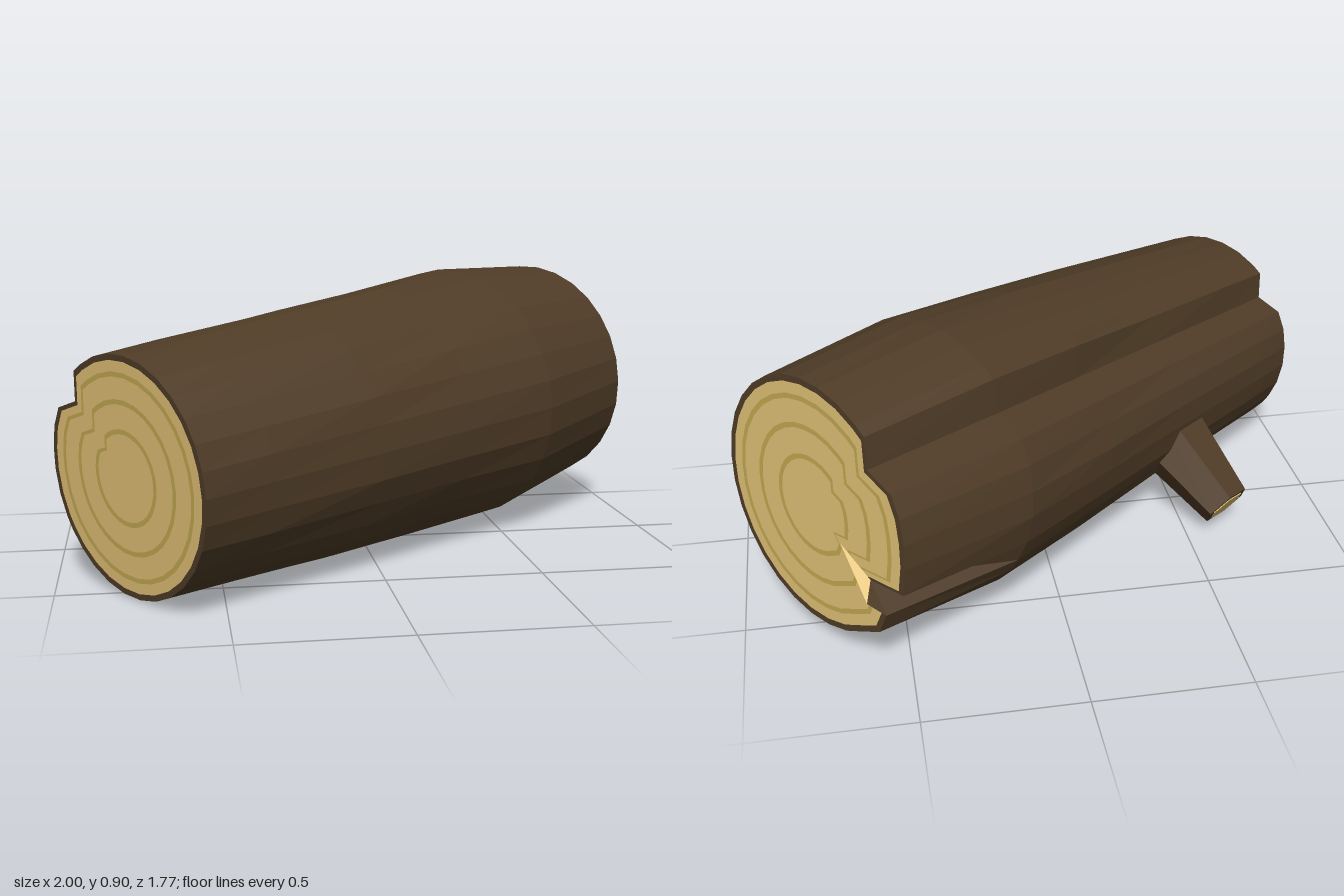
import * as THREE from 'three';

const BARK = 0x4f3c27, WOOD = 0xe2c276, GRAIN = 0xc4aa52;

// Flat-shaded mesh from a list of polygons (each 3 or 4 points)
function facetMesh(name, polys, color, side = THREE.FrontSide) {
  const pos = [];
  const e1 = new THREE.Vector3(), e2 = new THREE.Vector3();
  const tri = (a, b, c) => {
    if (e1.subVectors(b, a).cross(e2.subVectors(c, a)).length() < 1e-9) return;
    for (const p of [a, b, c]) pos.push(p.x, p.y, p.z);
  };
  for (const p of polys) {
    tri(p[0], p[1], p[2]);
    if (p[3]) tri(p[0], p[2], p[3]);
  }
  const g = new THREE.BufferGeometry();
  g.setAttribute('position', new THREE.Float32BufferAttribute(pos, 3));
  g.computeVertexNormals();
  const m = new THREE.Mesh(g, new THREE.MeshStandardMaterial({ color, flatShading: true, side }));
  m.name = name;
  return m;
}

export function createModel() {
  const root = new THREE.Group();
  root.name = 'log';
  // Local frame: x along the trunk, y up, z sideways
  const trunk = new THREE.Group();
  trunk.name = 'trunk';
  trunk.position.set(-0.0125, 0.4275, 0.015);
  trunk.rotation.set(0, 0.6435, 0.06, 'YXZ');
  root.add(trunk);

  let seed = 11;
  const rand = () => (seed = (seed * 16807) % 2147483647) / 2147483647 - 0.5;

  // Columns around the trunk: [angle, radius factor, radius factor at the wide end]
  const cols = [];
  for (let a = 0; a <= 120; a += 12) cols.push([a, 1, 1]);
  // Groove along the whole length
  cols.push([126.5, 1, 1], [138, 0.825, 0.835], [151.5, 0.985, 0.985]);
  cols.push([162, 1, 1], [173, 1, 1], [184, 1, 1.01]);
  // Notch that only opens towards the wide end
  const NOTCH = cols.length + 1;
  cols.push([196.5, 1, 1.03], [207.8, 1, 0.72], [214.7, 1, 0.98], [225.5, 1, 1.04]);
  for (let a = 237; a < 355; a += 12.3) cols.push([a, 1, 1]);
  const N = cols.length;

  // Stations along the trunk, swelling towards the knee
  const between = (t, jitter) => {
    const f = (t + 0.96) / 1.45;
    return { t, y: -0.007 * f, r: THREE.MathUtils.lerp(0.366, 0.45, f), jitter, k: 1 };
  };
  const stations = [
    between(-0.96, 0), between(-0.72, 0.015), between(-0.3, 0.035), between(0.1, 0.03), between(0.49, 0.012),
    { t: 0.96, y: 0, r: 0.404, jitter: 0, k: 2 },
  ];
  const rings = stations.map((s) => cols.map((c) => {
    const a = THREE.MathUtils.degToRad(c[0]);
    const r = s.r * c[s.k] * (1 + s.jitter * rand());
    return new THREE.Vector3(s.t, s.y + r * Math.sin(a), r * Math.cos(a));
  }));
  const last = rings.length - 1;

  // Bark shell
  const bark = [];
  for (let k = 0; k < last; k++) {
    for (let i = 0; i < N; i++) {
      const j = (i + 1) % N;
      bark.push([rings[k][i], rings[k + 1][i], rings[k + 1][j], rings[k][j]]);
    }
  }
  trunk.add(facetMesh('bark', bark, BARK));

  // Cut ends: nested bands of wood and growth rings, with a bark rim
  const bands = [0, 0.36, 0.4, 0.6, 0.64, 0.82, 0.86, 0.95, 1];
  const buildEnd = (name, ring, x) => {
    const parts = { wood: [], grain: [], rim: [] };
    const centre = new THREE.Vector3(x, 0, 0);
    const at = (i, f) => centre.clone().lerp(ring[i], f);
    for (let b = 0; b < bands.length - 1; b++) {
      const list = b === bands.length - 2 ? parts.rim : b % 2 ? parts.grain : parts.wood;
      for (let i = 0; i < N; i++) {
        const j = (i + 1) % N, f = bands[b], g = bands[b + 1];
        const q = [at(i, f), at(j, f), at(j, g), at(i, g)];
        list.push(x > 0 ? q : q.reverse());
      }
    }
    const end = new THREE.Group();
    end.name = name;
    end.add(
      facetMesh('cutWood', parts.wood, WOOD),
      facetMesh('growthRings', parts.grain, GRAIN),
      facetMesh('barkRim', parts.rim, BARK));
    trunk.add(end);
  };
  buildEnd('narrowEnd', rings[0], -0.96);
  buildEnd('wideEnd', rings[last], 0.96);

  // Splinter rising from the cut face towards the notch
  const apex = new THREE.Vector3(0.96, -0.075, -0.125);
  const inner = rings[last][NOTCH], lip = rings[last][NOTCH + 1];
  const tip = inner.clone().lerp(lip, 0.5).setX(1.003);
  trunk.add(facetMesh('splinter', [[apex, inner, tip], [apex, tip, lip]], WOOD, THREE.DoubleSide));
  trunk.add(facetMesh('splinterBark', [[inner, lip, tip]], BARK, THREE.DoubleSide));

  // Branch stub, sloping down from the back of the trunk
  const stub = new THREE.Group();
  stub.name = 'branchStub';
  const dir = new THREE.Vector3(0, -0.53, -0.85).normalize();
  const len = 0.42;
  stub.position.set(-0.36, -0.295, -0.575).addScaledVector(dir, -len / 2);
  stub.quaternion.setFromUnitVectors(new THREE.Vector3(0, 1, 0), dir);
  const add = (name, geo, color, y) => {
    const m = new THREE.Mesh(geo, new THREE.MeshStandardMaterial({ color, flatShading: true }));
    m.name = name;
    m.position.y = y;
    m.rotation.y = Math.PI / 6;
    stub.add(m);
  };
  add('stubBark', new THREE.CylinderGeometry(0.088, 0.15, len, 6), BARK, 0);
  add('stubWood', new THREE.CylinderGeometry(0.068, 0.068, 0.006, 6), WOOD, len / 2);
  trunk.add(stub);

  return root;
}
